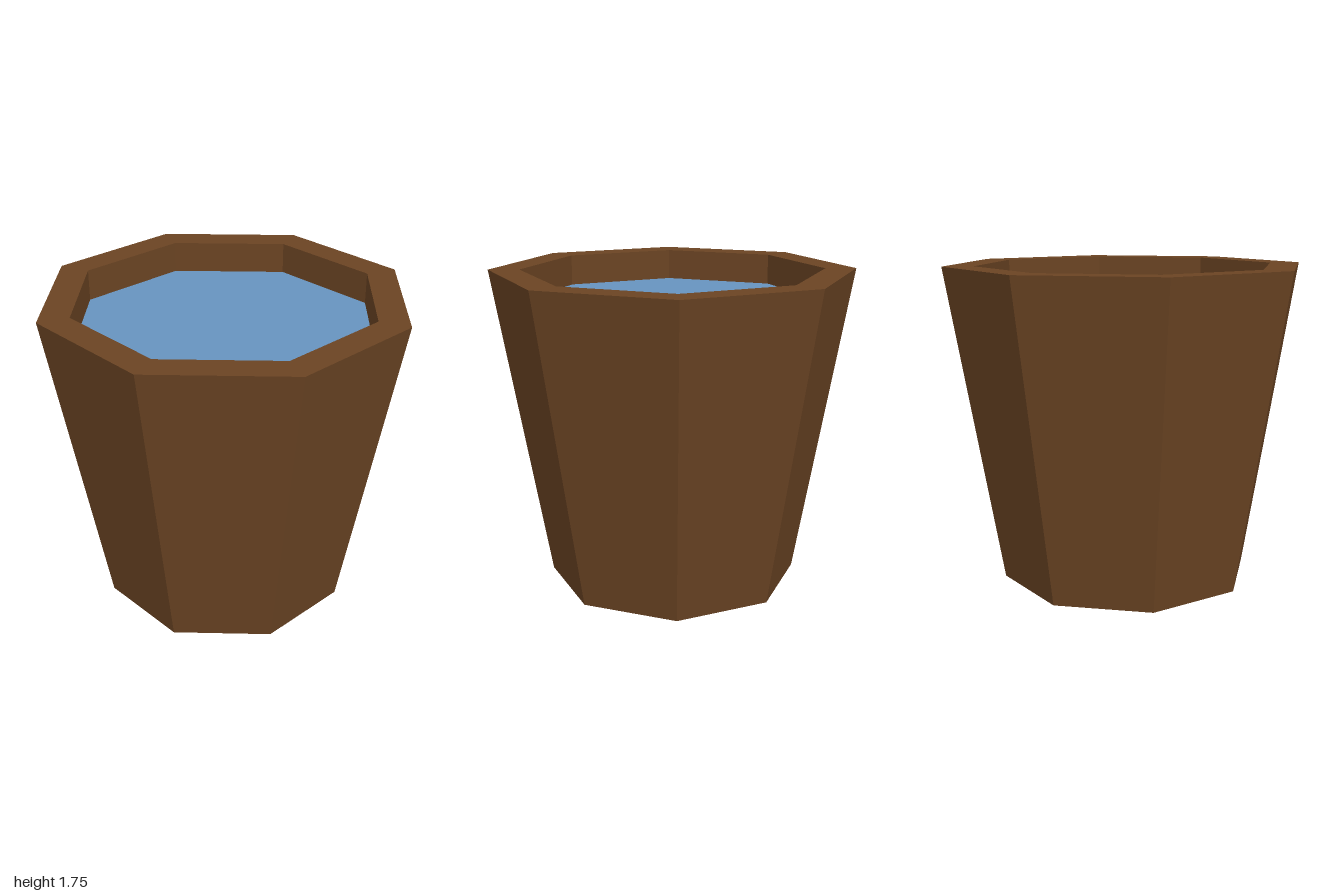
import * as THREE from 'three';

const SIDES = 8;
const HEIGHT = 1.75;
const BOTTOM_RADIUS = 0.7;
const RIM_RADIUS = 1;
const INNER_RADIUS = 0.83;
const WATER_LEVEL = 1.577;

export function createModel() {
  const wood = new THREE.MeshStandardMaterial({ color: 0x6b4423 });
  wood.name = 'brown wood';
  const blue = new THREE.MeshStandardMaterial({ color: 0x6794c0 });
  blue.name = 'water blue';

  const model = new THREE.Group();
  model.name = 'waterBucket';

  const add = (name, geometry, material) => {
    const mesh = new THREE.Mesh(geometry, material);
    mesh.name = name;
    model.add(mesh);
    return mesh;
  };

  // Faceted shell: tapered outside, flat rim, upright inner wall
  const profile = [
    [BOTTOM_RADIUS, 0],
    [RIM_RADIUS, HEIGHT],
    [INNER_RADIUS, HEIGHT],
    [INNER_RADIUS, WATER_LEVEL],
  ].map(([r, y]) => new THREE.Vector2(r, y));
  const shell = new THREE.LatheGeometry(profile, SIDES).toNonIndexed();
  shell.computeVertexNormals();
  add('bucketShell', shell, wood);

  // Flat underside
  const base = add('bucketBase', new THREE.CircleGeometry(BOTTOM_RADIUS, SIDES), wood);
  base.rotation.x = Math.PI / 2;

  // Water surface just below the rim
  const water = add('water', new THREE.CircleGeometry(INNER_RADIUS, SIDES), blue);
  water.rotation.x = -Math.PI / 2;
  water.position.y = WATER_LEVEL;

  return model;
}
